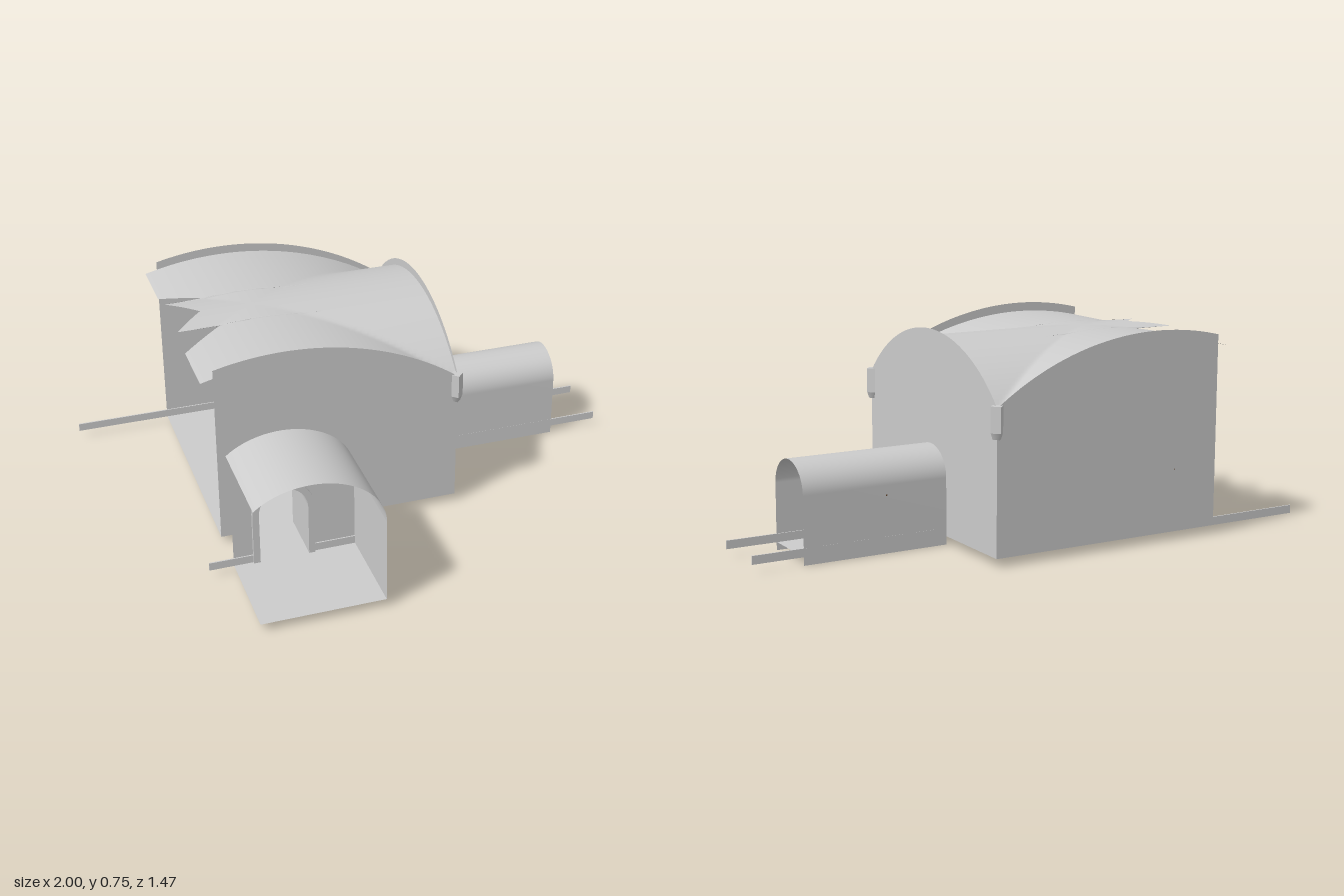
import * as THREE from 'three';

const grey = new THREE.MeshStandardMaterial({ color: 0xcccccc, side: THREE.DoubleSide });
const brown = new THREE.MeshStandardMaterial({ color: 0x6b4a2f });

// Room layout: the vaulted hall is centred on (CX, CZ) and broken off at CUT.
const FLOOR = 0.03, CUT = -0.64, RIGHT = 0.267, FRONT = 0.19, BACK = -0.718;
const CX = -0.38, CZ = -0.264, HX = RIGHT - CX, HZ = FRONT - CZ, DOOR = -0.455;

// Circular-segment height at distance d from the crown
function segment(d, half, spring, rise) {
  const r = (half * half + rise * rise) / (2 * rise);
  return spring + rise - r + Math.sqrt(Math.max(0, r * r - d * d));
}

// Half-ellipse height at distance d from the crown
const ellipse = (d, half, spring, rise) =>
  spring + rise * Math.sqrt(Math.max(0, 1 - (d / half) ** 2));

// Outline of an arched opening, from the left foot over the crown to the right foot
function archPoints(c, half, foot, spring, rise, n = 24) {
  const pts = [new THREE.Vector2(c - half, foot)];
  for (let i = 0; i <= n; i++) {
    const a = Math.PI * (1 - i / n);
    pts.push(new THREE.Vector2(c + half * Math.cos(a), spring + rise * Math.sin(a)));
  }
  pts.push(new THREE.Vector2(c + half, foot));
  return pts;
}

// Flat wall with a curved top and an optional doorway cut up from the floor
function wallGeometry(x0, x1, top, door = []) {
  const pts = [new THREE.Vector2(x0, FLOOR), ...door, new THREE.Vector2(x1, FLOOR)];
  for (let i = 0; i <= 40; i++) {
    const x = x1 + (x0 - x1) * i / 40;
    pts.push(new THREE.Vector2(x, top(x)));
  }
  return new THREE.ShapeGeometry(new THREE.Shape(pts));
}

// Grid surface from a function of row and column
function surface(rows, cols, point) {
  const pos = [], index = [];
  for (let r = 0; r <= rows; r++) {
    for (let c = 0; c <= cols; c++) {
      pos.push(...point(r, c));
      if (r < rows && c < cols) {
        const a = r * (cols + 1) + c, b = a + cols + 1;
        index.push(a, b, a + 1, a + 1, b, b + 1);
      }
    }
  }
  const g = new THREE.BufferGeometry();
  g.setAttribute('position', new THREE.Float32BufferAttribute(pos, 3));
  g.setIndex(index);
  g.computeVertexNormals();
  return g;
}

// Sheet made by sweeping a profile along z
const sweep = (pts, z0, z1) =>
  surface(1, pts.length - 1, (r, c) => [pts[c].x, pts[c].y, r ? z1 : z0]);

function add(parent, name, geometry, x = 0, y = 0, z = 0, material = grey) {
  const m = new THREE.Mesh(geometry, material);
  m.name = name;
  m.position.set(x, y, z);
  parent.add(m);
  return m;
}

function floor(parent, name, x0, x1, z0, z1) {
  add(parent, name, new THREE.PlaneGeometry(x1 - x0, z1 - z0).rotateX(-Math.PI / 2),
    (x0 + x1) / 2, FLOOR, (z0 + z1) / 2);
}

// Low strip of skirting along x
function skirting(parent, name, x0, x1, z) {
  add(parent, name, new THREE.BoxGeometry(x1 - x0, 0.03, 0.005), (x0 + x1) / 2, 0.045, z);
}

// Raised arched surround of a doorway
function doorFrame(parent, name, z) {
  const s = new THREE.Shape([
    ...archPoints(DOOR, 0.114, FLOOR, 0.23, 0.114),
    ...archPoints(DOOR, 0.09, FLOOR, 0.23, 0.09).reverse()]);
  add(parent, name, new THREE.ExtrudeGeometry(s, { depth: 0.014, bevelEnabled: false }), 0, 0, z);
}

// Small wall torch: bracket, shaft and cup
function torch(parent, x, y, z) {
  const t = new THREE.Group();
  t.name = 'torch';
  t.position.set(x, y, z);
  add(t, 'shaft', new THREE.CylinderGeometry(0.004, 0.002, 0.06, 6), 0, 0, 0, brown);
  add(t, 'cup', new THREE.CylinderGeometry(0.008, 0.004, 0.02, 6), 0, 0.035, 0, brown);
  add(t, 'bracket', new THREE.BoxGeometry(0.005, 0.005, 0.02), 0, -0.01, -0.01, brown);
  parent.add(t);
}

// Groin vault with a broken, toothed left edge
function vaultGeometry() {
  const E = -0.685, e = 1e-4;
  // Distance from the centre line, and the x of the broken edge there
  const teeth = [[HZ, E], [0.225, E], [0.115 + e, -0.53], [0.115, E], [0, -0.575]];
  const half = [];
  for (let i = 0; i < teeth.length - 1; i++) {
    const n = i === 2 ? 1 : 16;
    for (let k = 0; k < n; k++) {
      half.push([0, 1].map(j => THREE.MathUtils.lerp(teeth[i][j], teeth[i + 1][j], k / n)));
    }
  }
  const rows = [...half.map(([d, x]) => [CZ - d, x]), [CZ, -0.575],
    ...half.map(([d, x]) => [CZ + d, x]).reverse()];
  return surface(rows.length - 1, 90, (r, c) => {
    const [z, x0] = rows[r];
    const x = THREE.MathUtils.lerp(x0, RIGHT, c / 90);
    const y = Math.max(segment(x - CX, HX, 0.52, 0.2), segment(z - CZ, HZ, 0.52, 0.2));
    return [x, y, z];
  });
}

export function createModel() {
  const model = new THREE.Group();
  model.name = 'vaultedHall';

  // Main hall
  const hall = new THREE.Group();
  hall.name = 'hall';
  model.add(hall);
  const longTop = x => segment(x - CX, HX, 0.54, 0.213);
  const doorway = archPoints(DOOR, 0.09, FLOOR, 0.23, 0.09);
  floor(hall, 'hallFloor', CUT, RIGHT, BACK, FRONT);
  add(hall, 'frontWall', wallGeometry(CUT, RIGHT, longTop, doorway), 0, 0, FRONT);
  add(hall, 'backWall', wallGeometry(CUT, RIGHT, longTop), 0, 0, BACK);
  add(hall, 'groinVault', vaultGeometry());
  doorFrame(hall, 'innerDoorFrame', FRONT - 0.014);
  skirting(hall, 'backSkirting', -1, RIGHT, BACK + 0.003);
  skirting(hall, 'frontSkirtingLeft', CUT, DOOR - 0.114, FRONT - 0.003);
  skirting(hall, 'frontSkirtingRight', DOOR + 0.114, RIGHT, FRONT - 0.003);

  // Corner capitals, set diagonally
  for (const z of [FRONT - 0.005, BACK + 0.005]) {
    const cap = new THREE.Group();
    cap.name = 'capital';
    cap.position.set(RIGHT - 0.003, 0, z);
    cap.rotation.y = Math.PI / 4;
    add(cap, 'capitalBlock', new THREE.BoxGeometry(0.036, 0.09, 0.036), 0, 0.503, 0);
    add(cap, 'capitalFoot', new THREE.CylinderGeometry(0.025, 0.017, 0.022, 4, 1).rotateY(Math.PI / 4), 0, 0.447, 0);
    hall.add(cap);
  }

  // Right side, built facing +z and turned towards +x
  const side = new THREE.Group();
  side.name = 'rightSide';
  side.rotation.y = Math.PI / 2;
  model.add(side);
  const c = -CZ, w = 0.113;
  add(side, 'rightWall', wallGeometry(c - HZ, c + HZ, x => segment(x - c, HZ, 0.54, 0.21),
    archPoints(c, w, FLOOR, 0.24, 0.104)), 0, 0, RIGHT);
  add(side, 'tunnelShell', sweep(archPoints(c, w, 0, 0.24, 0.104), RIGHT, 0.813));
  floor(side, 'tunnelFloor', c - w, c + w, RIGHT, 0.813);
  for (const s of [-1, 1]) {
    add(side, 'tunnelSkirting', new THREE.BoxGeometry(0.005, 0.03, 1 - RIGHT),
      c + s * (w - 0.002), 0.045, (1 + RIGHT) / 2);
  }

  // Short passage from the hall to the front chamber
  const passage = new THREE.Group();
  passage.name = 'passage';
  model.add(passage);
  add(passage, 'passageShell', sweep(archPoints(DOOR, 0.09, 0, 0.23, 0.09), FRONT, 0.373));
  floor(passage, 'passageFloor', DOOR - 0.09, DOOR + 0.09, FRONT, 0.373);

  // Front chamber, open to the front and the left
  const chamber = new THREE.Group();
  chamber.name = 'frontChamber';
  model.add(chamber);
  const x1 = -0.19, z0 = 0.373, z1 = 0.733, span = x1 - DOOR;
  floor(chamber, 'chamberFloor', CUT, x1, z0, z1);
  add(chamber, 'chamberBackWall', wallGeometry(CUT, x1,
    x => ellipse(x - DOOR, span + 0.005, 0.35, 0.235), doorway), 0, 0, z0);
  add(chamber, 'chamberSideWall', new THREE.PlaneGeometry(z1 - z0, 0.35 - FLOOR).rotateY(Math.PI / 2),
    x1, (0.35 + FLOOR) / 2, (z0 + z1) / 2);
  const arc = [], a0 = Math.acos((CUT - 0.01 - DOOR) / span);
  for (let i = 0; i <= 28; i++) {
    const a = a0 * (1 - i / 28);
    arc.push(new THREE.Vector2(DOOR + span * Math.cos(a), 0.35 + 0.203 * Math.sin(a)));
  }
  add(chamber, 'chamberVault', sweep(arc, z0, z1));
  doorFrame(chamber, 'outerDoorFrame', z0);
  skirting(chamber, 'chamberSkirtingLeft', -0.73, DOOR - 0.114, z0 + 0.003);
  skirting(chamber, 'chamberSkirtingRight', DOOR + 0.114, x1, z0 + 0.003);

  // Torches
  torch(model, -0.41, 0.265, 0.2);
  torch(model, -0.46, 0.265, BACK + 0.02);
  torch(model, 0.5, 0.215, CZ - w + 0.02);

  return model;
}
